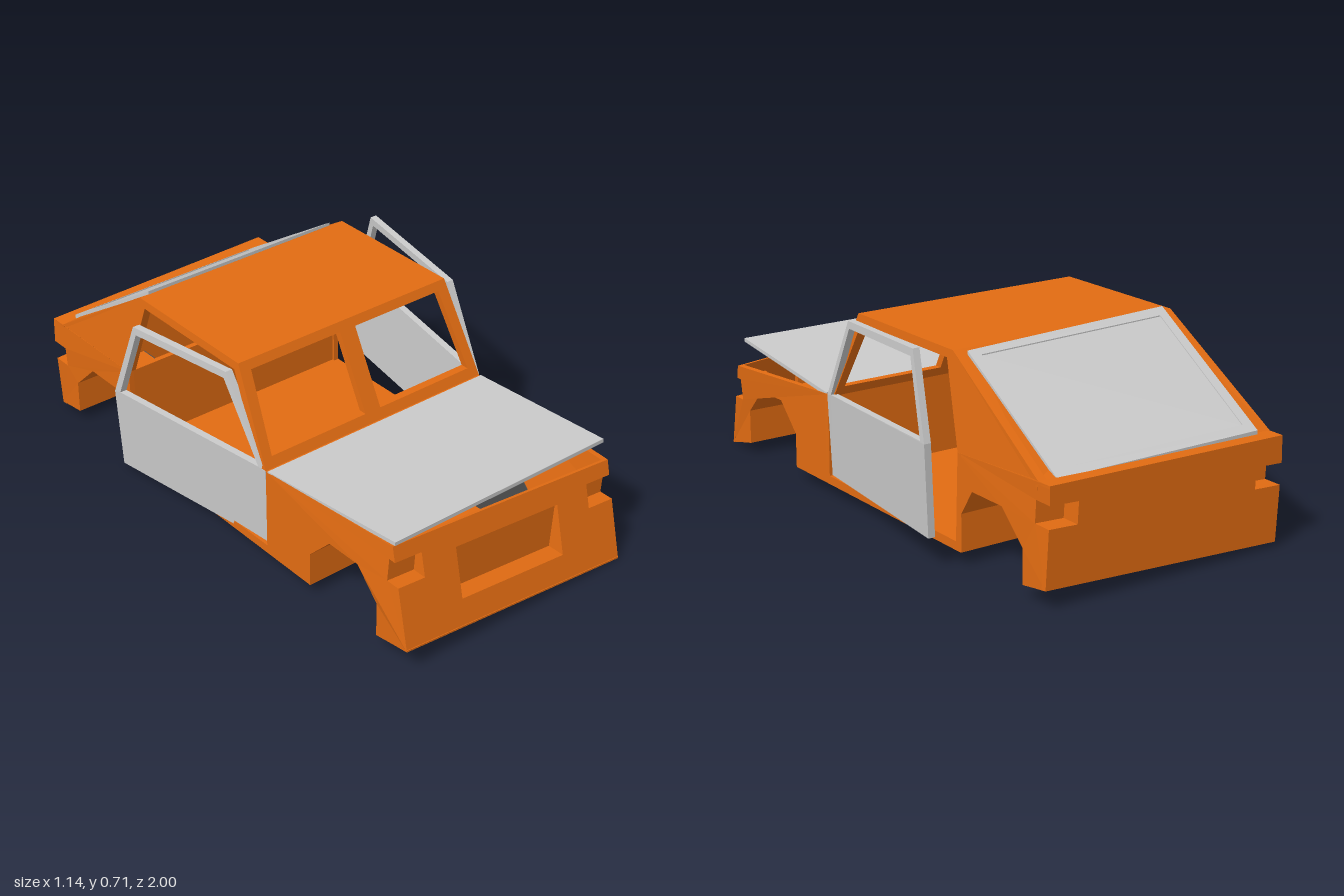
import * as THREE from 'three';

const CX = -0.025, HALF = 0.475, BELT = 0.376, ROOF = 0.7;
const paint = new THREE.MeshStandardMaterial({ color: 0xe36c12, flatShading: true, side: THREE.DoubleSide });
const grey = new THREE.MeshStandardMaterial({ color: 0xcccccc, flatShading: true, side: THREE.DoubleSide });
const dark = new THREE.MeshStandardMaterial({ color: 0x4d4d4d, flatShading: true, side: THREE.DoubleSide });

// Bent bodywork: the nose rolls one way, the tail slightly the other
function twist(x, y, z) {
  let roll = 0;
  if (z > 0.87) roll = -0.088;
  else if (y > 0.3 && y < 0.39 && z > 0.27) roll = -0.088 * (z - 0.27) / 0.62;
  else if (z < -0.9) roll = y > 0.35 ? 0.02 : 0.053;
  return [x + CX - roll * (y - 0.21), y + roll * x, z];
}

export function createModel() {
  const model = new THREE.Group();

  // Flat outline (with holes) given thickness, then placed by a rule (u, v, w) -> [x, y, z]
  function panel(name, pts, place, { holes = [], depth = 0.02, material = paint, bend = true } = {}) {
    const toV = p => p.map(([a, b]) => new THREE.Vector2(a, b));
    const shape = new THREE.Shape(toV(pts));
    for (const h of holes) shape.holes.push(new THREE.Path(toV(h)));
    const geo = new THREE.ExtrudeGeometry(shape, { depth, bevelEnabled: false });
    const pos = geo.attributes.position;
    for (let i = 0; i < pos.count; i++) {
      const p = place(pos.getX(i), pos.getY(i), pos.getZ(i));
      pos.setXYZ(i, ...(bend ? twist(...p) : p));
    }
    geo.computeVertexNormals();
    const mesh = new THREE.Mesh(geo, material);
    mesh.name = name;
    model.add(mesh);
  }

  // Strip of quads between two matching rows of points
  function strip(name, rowA, rowB, material = paint) {
    const v = [];
    for (let i = 0; i + 1 < rowA.length; i++)
      for (const p of [rowA[i], rowB[i], rowB[i + 1], rowA[i], rowB[i + 1], rowA[i + 1]]) v.push(...twist(...p));
    const geo = new THREE.BufferGeometry();
    geo.setAttribute('position', new THREE.Float32BufferAttribute(v, 3));
    geo.computeVertexNormals();
    const mesh = new THREE.Mesh(geo, material);
    mesh.name = name;
    model.add(mesh);
  }
  const rect = (a, b, c, d) => [[a, b], [c, b], [c, d], [a, d]];
  const mirrored = pts => [...pts, ...pts.map(([x, y]) => [-x, y]).reverse()];

  const frontArch = [[0.5, 0.045], [0.5, 0.17], [0.6, 0.27], [0.74, 0.27], [0.835, 0.17], [0.835, 0.045]];
  const rearArch = [[-0.87, 0.045], [-0.87, 0.165], [-0.76, 0.27], [-0.6, 0.27], [-0.535, 0.17], [-0.535, 0.045]];
  const noseZ = y => 1 - 0.11 * (y - 0.043) / 0.333;
  const wellX = 0.25, lampX = 0.365;
  const cabinX = y => HALF - 0.025 * (y - BELT) / (ROOF - BELT);

  for (const s of [1, -1]) {
    // Lower side: fender, sill and rear quarter with wheel arches and lamp notches
    panel('bodySide', [
      [1, 0.043], [noseZ(0.245), 0.245], [0.88, 0.245], [0.88, 0.325], [noseZ(0.325), 0.325], [0.89, BELT],
      [0.27, BELT], [0.27, 0.075], [-0.51, 0.075], [-0.52, 0.38], [-0.93, 0.395], [-1, 0.395],
      [-1, 0.315], [-0.93, 0.315], [-0.93, 0.24], [-1, 0.24], [-1, 0.043],
      ...rearArch, ...frontArch,
    ], (z, y, w) => [s * (HALF - w), y, z]);

    // Cabin side: windscreen pillar, roof rail and rear pillar around the door opening
    panel('cabinSide', [
      [0.27, BELT], [0.1, ROOF], [-0.46, ROOF], [-0.94, 0.395], [-0.52, 0.38], [-0.43, 0.67], [0.08, 0.67], [0.23, BELT],
    ], (z, y, w) => [s * (cabinX(y) - w), y, z], { depth: 0.03 });

    // Wheel wells
    for (const arch of [frontArch, rearArch]) {
      strip('wheelWell', arch.map(([z, y]) => [s * HALF, y, z]), arch.map(([z, y]) => [s * wellX, y, z]));
      panel('wheelWellWall', arch, (z, y, w) => [s * (wellX - w), y, z], { depth: 0.004, material: dark });
    }

    // Lamp recesses: bottom, back and top, then the inner wall
    const lamps = [
      [[noseZ(0.245), 0.245], [0.88, 0.245], [0.88, 0.325], [noseZ(0.325), 0.325]],
      [[-1, 0.24], [-0.93, 0.24], [-0.93, 0.315], [-1, 0.315]],
    ];
    for (const lamp of lamps) {
      strip('lampRecess', lamp.map(([z, y]) => [s * HALF, y, z]), lamp.map(([z, y]) => [s * lampX, y, z]));
      panel('lampRecessWall', lamp, (z, y, w) => [s * (lampX - w), y, z], { depth: 0.004 });
    }
  }

  // Nose with grille opening
  const grille = rect(-0.225, 0.132, 0.225, 0.298);
  panel('nose', mirrored([[HALF, 0.043], [HALF, 0.245], [lampX, 0.245], [lampX, 0.325], [HALF, 0.325], [HALF, BELT]]),
    (x, y, w) => [x, y, noseZ(y) - w], { holes: [grille], depth: 0.01 });
  const loop = [...grille, grille[0]];
  strip('grilleRecess', loop.map(([x, y]) => [x, y, noseZ(y)]), loop.map(([x, y]) => [x, y, 0.905]));
  panel('grilleBack', grille, (x, y, w) => [x, y, 0.905 - w], { depth: 0.005 });

  // Tail and rear deck
  panel('tail', mirrored([[HALF, 0.043], [HALF, 0.24], [lampX, 0.24], [lampX, 0.315], [HALF, 0.315], [HALF, 0.395]]),
    (x, y, w) => [x, y, -1 + w]);
  panel('rearDeck', rect(-HALF, -1, HALF, -0.93), (x, z, w) => [x, 0.395 - w, z], { depth: 0.01 });

  // Underside cut away at the wheels
  panel('underside', mirrored([
    [HALF, 1], [HALF, 0.835], [wellX, 0.835], [wellX, 0.5], [HALF, 0.5],
    [HALF, -0.535], [wellX, -0.535], [wellX, -0.87], [HALF, -0.87], [HALF, -1],
  ]), (x, z, w) => [x, 0.044 + w, z], { depth: 0.005 });

  // Cabin floor and bulkheads
  panel('cabinFloor', rect(-HALF, -0.52, HALF, 0.27), (x, z, w) => [x, 0.075 - w, z], { depth: 0.01 });
  panel('firewall', rect(-HALF, 0.045, HALF, BELT), (x, y, w) => [x, y, 0.27 + w]);
  panel('rearBulkhead', rect(-HALF, 0.045, HALF, 0.38), (x, y, w) => [x, y, -0.52 - w]);

  // Windscreen frame with centre bar
  const pane = s => [[s * 0.033, 0.41], [s * 0.435, 0.41], [s * 0.41, 0.67], [s * 0.033, 0.67]];
  panel('windscreenFrame', mirrored([[HALF, BELT], [0.45, ROOF]]),
    (x, y, w) => [x, y, 0.27 - 0.17 * (y - BELT) / (ROOF - BELT) - w], { holes: [pane(1), pane(-1)], depth: 0.03 });

  // Roof
  panel('roof', [[-0.45, 0.1], [0.45, 0.085], [0.45, -0.46], [-0.45, -0.46]], (x, z, w) => [x, ROOF - w, z], { depth: 0.03 });

  // Sloping tail opening and its hatch
  const slopeY = z => ROOF + (z + 0.46) * 0.305 / 0.48;
  panel('hatchFrame', mirrored([[0.45, -0.46], [HALF, -0.94]]), (x, z, w) => [x, slopeY(z) - w, z],
    { holes: [rect(-0.39, -0.9, 0.39, -0.5)], depth: 0.03 });
  const hatch = [[-0.415, -0.95], [0.405, -0.95], [0.41, -0.483], [-0.415, -0.458]];
  const inner = [[-0.375, -0.92], [0.365, -0.92], [0.37, -0.505], [-0.38, -0.49]];
  panel('hatchRim', hatch, (x, z, w) => [x + CX, slopeY(z) + 0.012 - w, z],
    { holes: [inner], depth: 0.02, material: grey, bend: false });
  panel('hatchPane', inner, (x, z, w) => [x + CX, slopeY(z) + 0.008 - w, z],
    { depth: 0.012, material: grey, bend: false });

  // Bonnet, slightly raised at the nose
  panel('bonnet', [[-0.5, 0.28], [0.45, 0.28], [0.43, 0.895], [-0.48, 0.895]],
    (x, z, w) => [x, 0.38 + (z - 0.28) * 0.088 - w, z], { depth: 0.014, material: grey, bend: false });

  // Doors, both ajar; the right one sags
  const ajar = (hinge, s, slope) => (z, y, w) =>
    [hinge + s * ((0.265 - z) * slope - Math.abs(y - 0.4) * 0.05 - w), y, z];
  panel('leftDoor', [[0.265, 0.078], [0.265, 0.375], [0.1, 0.68], [-0.4, 0.71], [-0.505, 0.425], [-0.505, 0.105]],
    ajar(0.457, 1, 0.145), {
      holes: [[[0.232, 0.385], [0.09, 0.655], [-0.385, 0.682], [-0.475, 0.428]]],
      depth: 0.026, material: grey, bend: false,
    });
  panel('rightDoor', [[0.265, 0.07], [0.265, 0.37], [0.07, 0.665], [-0.4, 0.638], [-0.51, 0.335], [-0.505, 0.025]],
    ajar(-0.5, -1, 0.092), {
      holes: [[[0.232, 0.375], [0.06, 0.638], [-0.385, 0.612], [-0.48, 0.342]]],
      depth: 0.026, material: grey, bend: false,
    });

  return model;
}
